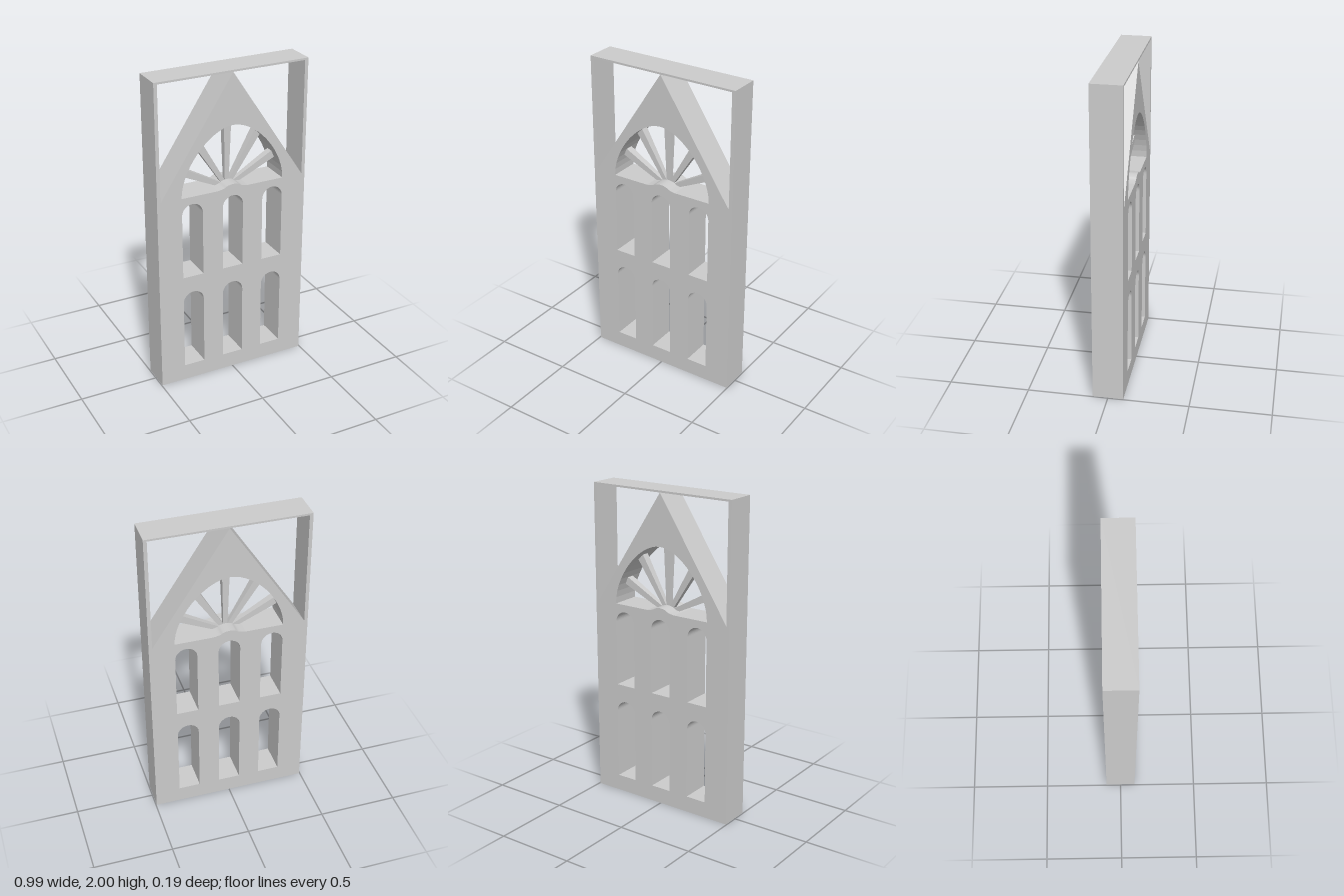
import * as THREE from 'three';

const DEPTH = 0.19;
const HALF = 0.495;      // half width of the facade
const EAVES = 1.264;     // foot of the gable
const APEX = 1.988;      // tip of the gable, under the top rail
const POST = 0.022;      // thickness of the frame posts

const material = new THREE.MeshStandardMaterial({ color: 0xcccccc });

function addMesh(parent, name, geometry) {
  const mesh = new THREE.Mesh(geometry, material);
  mesh.name = name;
  parent.add(mesh);
  return mesh;
}

function extrude(shape) {
  const geometry = new THREE.ExtrudeGeometry(shape, { depth: DEPTH, bevelEnabled: false, curveSegments: 14 });
  return geometry.translate(0, 0, -DEPTH / 2);
}

// Round-headed window opening
function windowHole(x, bottom, top, r = 0.068) {
  const hole = new THREE.Path();
  hole.moveTo(x - r, bottom);
  hole.lineTo(x + r, bottom);
  hole.lineTo(x + r, top - r);
  hole.absarc(x, top - r, r, 0, Math.PI, false);
  hole.lineTo(x - r, bottom);
  return hole;
}

// Large fanlight opening in the gable
function fanHole() {
  const hole = new THREE.Path();
  hole.moveTo(-0.338, EAVES);
  hole.lineTo(0.338, EAVES);
  hole.bezierCurveTo(0.338, 1.45, 0.15, 1.667, 0, 1.667);
  hole.bezierCurveTo(-0.15, 1.667, -0.338, 1.45, -0.338, EAVES);
  return hole;
}

export function createModel() {
  const model = new THREE.Group();
  model.name = 'gabledFacade';

  // Wall with gable, windows and fanlight opening
  const wall = new THREE.Shape([
    [-HALF, 0], [HALF, 0], [HALF, EAVES], [HALF - POST, EAVES],
    [0, APEX], [-HALF + POST, EAVES], [-HALF, EAVES],
  ].map(([x, y]) => new THREE.Vector2(x, y)));
  for (const x of [-0.269, 0, 0.269]) {
    wall.holes.push(windowHole(x, 0.103, 0.624), windowHole(x, 0.733, 1.217));
  }
  wall.holes.push(fanHole());
  addMesh(model, 'gableWall', extrude(wall));

  // Thin rectangular frame around the gable
  const frame = new THREE.Group();
  frame.name = 'upperFrame';
  model.add(frame);
  for (const [name, side] of [['leftPost', 1], ['rightPost', -1]]) {
    const post = addMesh(frame, name, new THREE.BoxGeometry(POST, APEX - EAVES, DEPTH));
    post.position.set(side * (HALF - POST / 2), (APEX + EAVES) / 2, 0);
  }
  const rail = addMesh(frame, 'topRail', new THREE.BoxGeometry(2 * HALF, 2 - APEX, DEPTH));
  rail.position.y = (2 + APEX) / 2;

  // Low swelling in the sill where the spokes meet
  const hub = new THREE.Shape();
  hub.moveTo(-0.1, EAVES - 0.004);
  hub.lineTo(0.1, EAVES - 0.004);
  hub.lineTo(0.1, EAVES);
  hub.splineThru([[0.06, 1.272], [0.035, 1.285], [0, 1.291], [-0.035, 1.285], [-0.06, 1.272], [-0.1, EAVES]]
    .map(([x, y]) => new THREE.Vector2(x, y)));
  addMesh(model, 'fanHub', extrude(hub));

  // Tapered square spokes of the fanlight
  const spokes = new THREE.Group();
  spokes.name = 'fanSpokes';
  spokes.position.y = 1.24;
  model.add(spokes);
  const layout = [[0, 0.435], [31.5, 0.385], [-31.5, 0.385], [62.5, 0.348], [-62.5, 0.348]];
  for (const [degrees, length] of layout) {
    const geometry = new THREE.CylinderGeometry(0.034, 0.017, length, 4).toNonIndexed();
    geometry.rotateY(Math.PI / 4);
    geometry.computeVertexNormals();
    geometry.translate(0, length / 2, 0);
    addMesh(spokes, 'spoke', geometry).rotation.z = THREE.MathUtils.degToRad(degrees);
  }

  return model;
}
